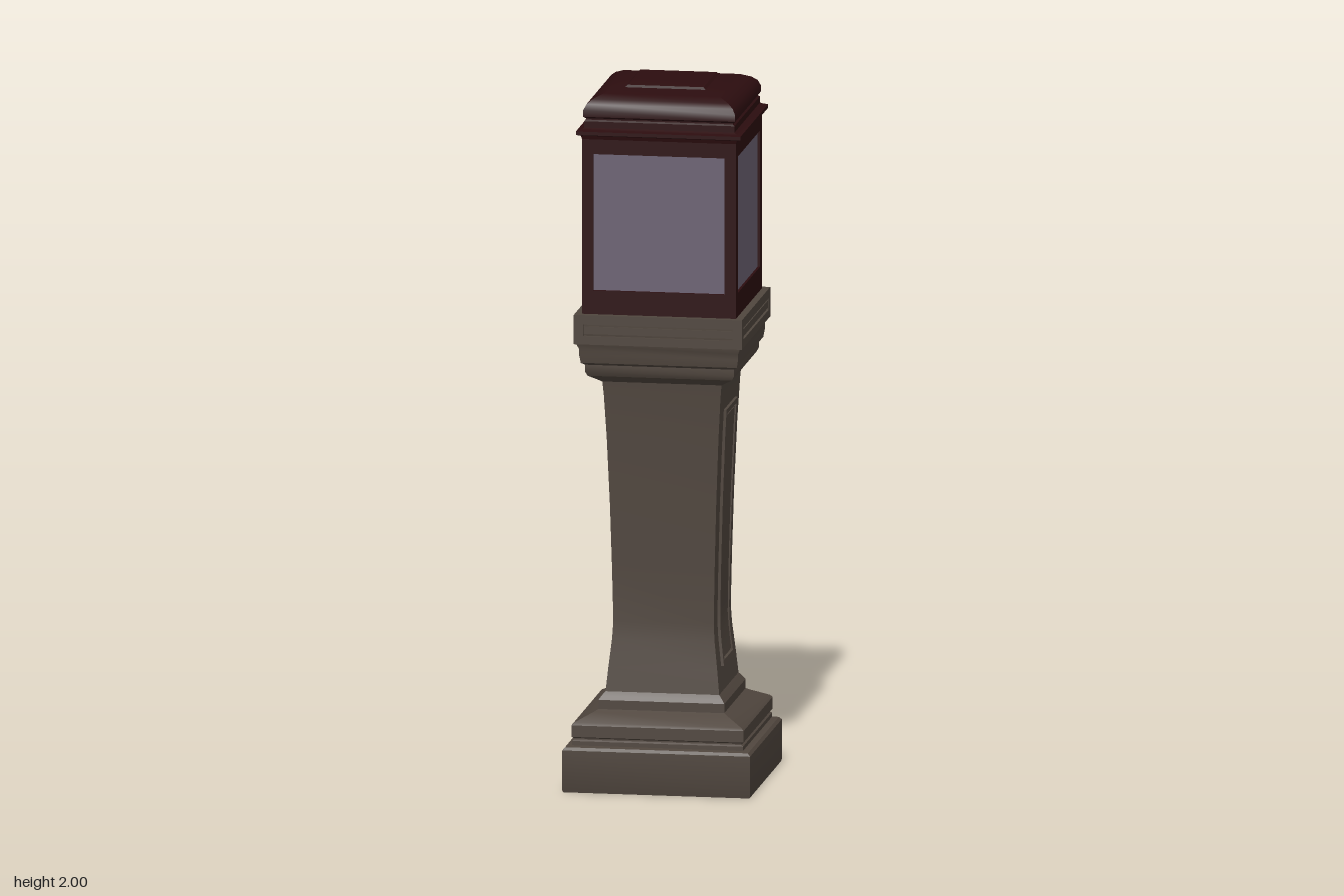
import * as THREE from 'three';
import { toCreasedNormals } from 'three/addons/utils/BufferGeometryUtils.js';

const stone = new THREE.MeshStandardMaterial({ color: 0x50463e });
stone.name = 'stone';
const maroon = new THREE.MeshStandardMaterial({ color: 0x2c0d0f });
maroon.name = 'dark red metal';
const glass = new THREE.MeshStandardMaterial({ color: 0x6c6273 });
glass.name = 'frosted glass';

// Shaft outline as [half width, height]
const shaft = [
  [0.162, 0.27], [0.155, 0.34], [0.146, 0.42], [0.143, 0.47], [0.146, 0.62],
  [0.151, 0.8], [0.159, 1.0], [0.166, 1.12], [0.17, 1.165],
];

function shaftHalf(y) {
  for (let i = 1; i < shaft.length; i++) {
    const [w0, y0] = shaft[i - 1], [w1, y1] = shaft[i];
    if (y <= y1) return w0 + (w1 - w0) * (y - y0) / (y1 - y0);
  }
  return shaft[shaft.length - 1][0];
}

// Square moulding: a four-sided lathe closed at both ends
function squareMoulding(name, profile, material) {
  const closed = [[0, profile[0][1]], ...profile, [0, profile[profile.length - 1][1]]];
  const points = closed.map(([half, y]) => new THREE.Vector2(half * Math.SQRT2, y));
  const geometry = new THREE.LatheGeometry(points, 4, Math.PI / 4);
  const mesh = new THREE.Mesh(toCreasedNormals(geometry, 0.5), material);
  mesh.name = name;
  return mesh;
}

// The same rectangular frame on all four sides
function fourFrames(name, half, y0, y1, hole, h0, h1, depth, material) {
  const shape = new THREE.Shape([[-half, y0], [half, y0], [half, y1], [-half, y1]]
    .map(([x, y]) => new THREE.Vector2(x, y)));
  shape.holes.push(new THREE.Path([[-hole, h0], [-hole, h1], [hole, h1], [hole, h0]]
    .map(([x, y]) => new THREE.Vector2(x, y))));
  const geometry = new THREE.ExtrudeGeometry(shape, { depth, bevelEnabled: false });
  geometry.translate(0, 0, half - depth);
  const group = new THREE.Group();
  group.name = name;
  for (let i = 0; i < 4; i++) {
    const mesh = new THREE.Mesh(geometry, material);
    mesh.name = name + 'Side';
    mesh.rotation.y = i * Math.PI / 2;
    group.add(mesh);
  }
  return group;
}

// Raised strip on the +x face, bent to follow the flared shaft
function shaftStrip(name, y0, y1, z0, z1, raise) {
  const geometry = new THREE.BoxGeometry(0.03, y1 - y0, z1 - z0, 1, 20, 1);
  geometry.translate(raise - 0.015, (y0 + y1) / 2, (z0 + z1) / 2);
  const p = geometry.attributes.position;
  for (let i = 0; i < p.count; i++) {
    const w = shaftHalf(p.getY(i));
    p.setX(i, p.getX(i) + w);
    p.setZ(i, p.getZ(i) * w / 0.162);
  }
  const mesh = new THREE.Mesh(toCreasedNormals(geometry, 0.5), stone);
  mesh.name = name;
  return mesh;
}

export function createModel() {
  const model = new THREE.Group();
  model.name = 'lanternPillar';

  // Stepped base
  model.add(squareMoulding('base', [
    [0.265, 0], [0.267, 0.006], [0.267, 0.12], [0.26, 0.128],
    [0.243, 0.131], [0.243, 0.143], [0.238, 0.147], [0.238, 0.151], [0.245, 0.155],
    [0.245, 0.188], [0.238, 0.195], [0.19, 0.218], [0.179, 0.224],
    [0.179, 0.25], [0.172, 0.26], [0.162, 0.272],
  ], stone));

  model.add(squareMoulding('shaft', shaft, stone));

  // Decorative panel on one face
  const panel = new THREE.Group();
  panel.name = 'shaftPanel';
  panel.add(
    shaftStrip('panelLeftRim', 0.34, 1.075, 0.075, 0.093, 0.008),
    shaftStrip('panelRightRim', 0.34, 1.075, -0.093, -0.075, 0.008),
    shaftStrip('panelTopRim', 1.06, 1.075, -0.075, 0.075, 0.008),
    shaftStrip('panelBottomRim', 0.34, 0.355, -0.075, 0.075, 0.008),
    shaftStrip('panelField', 0.362, 1.053, -0.068, 0.068, 0.005),
  );
  model.add(panel);

  // Flared capital with a framed band
  model.add(squareMoulding('capital', [
    [0.17, 1.16], [0.182, 1.168], [0.205, 1.182], [0.212, 1.195], [0.212, 1.215],
    [0.222, 1.222], [0.226, 1.245], [0.226, 1.262], [0.232, 1.275], [0.232, 1.358],
  ], stone));
  model.add(fourFrames('capitalFrame', 0.239, 1.278, 1.362, 0.212, 1.302, 1.335, 0.02, stone));
  model.add(squareMoulding('capitalInset', [[0.237, 1.308], [0.237, 1.329]], stone));

  // Lantern: glass core inside a metal frame
  model.add(squareMoulding('glassPanes', [[0.212, 1.4], [0.212, 1.85]], glass));
  model.add(fourFrames('lanternFrame', 0.219, 1.36, 1.87, 0.187, 1.43, 1.82, 0.02, maroon));

  // Roof with projecting lip and rounded shoulders
  model.add(squareMoulding('roof', [
    [0.219, 1.862], [0.222, 1.872], [0.234, 1.876], [0.234, 1.886], [0.222, 1.89],
    [0.214, 1.894], [0.214, 1.912], [0.209, 1.916], [0.209, 1.92], [0.216, 1.925],
    [0.216, 1.944], [0.208, 1.96], [0.193, 1.972], [0.165, 1.984], [0.115, 1.993],
    [0.108, 1.999], [0.1, 2.0],
  ], maroon));

  return model;
}
